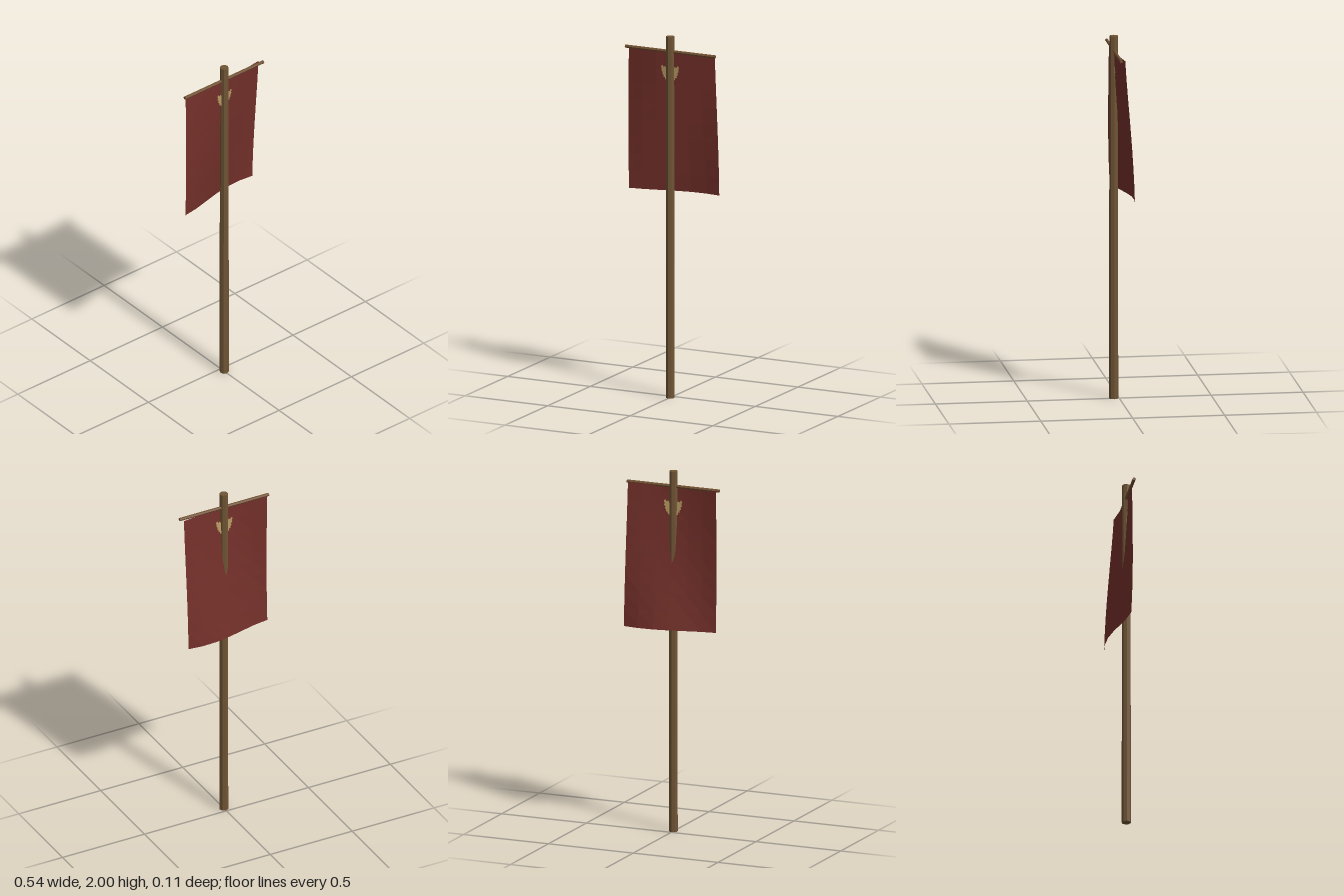
import * as THREE from 'three';

const TOP = 1.915, BOTTOM = 1.13, HALF_WIDTH = 0.257;

// Depth of the wind-blown cloth: a wave that grows and travels downwards
function clothZ(x, y) {
  const t = THREE.MathUtils.clamp((TOP - y) / (TOP - BOTTOM), 0, 1);
  const grow = Math.pow(t, 1.3);
  return 0.015 - 0.036 * grow + (0.019 + 0.018 * grow) * Math.cos(7 * (x + 0.05 + 0.25 * t));
}

// Lays a flat geometry onto the cloth, at a small distance from it
function drape(geometry, offset = 0) {
  const p = geometry.attributes.position;
  for (let i = 0; i < p.count; i++) p.setZ(i, clothZ(p.getX(i), p.getY(i)) + offset);
  geometry.computeVertexNormals();
  return geometry;
}

export function createModel() {
  const group = new THREE.Group();
  const material = (name, color, side = THREE.FrontSide) => {
    const m = new THREE.MeshStandardMaterial({ color, side, flatShading: true });
    m.name = name;
    return m;
  };
  const poleWood = material('pole wood', 0x6f5535);
  const barWood = material('crossbar wood', 0x735233);
  const redCloth = material('red cloth', 0x74302a, THREE.DoubleSide);
  const gold = material('pale gold', 0xb89a62, THREE.DoubleSide);

  const add = (name, geometry, mat) => {
    const mesh = new THREE.Mesh(geometry, mat);
    mesh.name = name;
    group.add(mesh);
    return mesh;
  };

  // Tall eight-sided pole
  add('pole', new THREE.CylinderGeometry(0.0235, 0.025, 2, 8), poleWood).position.set(0, 1, 0.03);

  // Crossbar that carries the cloth
  const bar = add('crossbar', new THREE.CylinderGeometry(0.009, 0.009, 0.544, 6), barWood);
  bar.rotation.z = Math.PI / 2;
  bar.position.set(0, 1.916, 0.028);

  // Hanging cloth
  const cloth = new THREE.PlaneGeometry(HALF_WIDTH * 2, TOP - BOTTOM, 6, 8);
  cloth.translate(0, (TOP + BOTTOM) / 2, 0);
  add('banner', drape(cloth), redCloth);

  // Feathered emblem on both faces of the cloth
  const half = [
    [0.018, 1.815], [0.028, 1.835], [0.038, 1.828], [0.043, 1.84], [0.053, 1.832],
    [0.048, 1.818], [0.051, 1.81], [0.043, 1.8], [0.046, 1.79], [0.038, 1.784],
    [0.039, 1.772], [0.03, 1.772], [0.028, 1.76], [0.012, 1.755],
  ].map(([x, y]) => new THREE.Vector2(x, y));
  const mirrored = half.map((v) => new THREE.Vector2(-v.x, v.y)).reverse();
  const outline = new THREE.Shape([...half, ...mirrored]);
  for (const [name, offset] of [['frontEmblem', 0.004], ['backEmblem', -0.004]]) {
    add(name, drape(new THREE.ShapeGeometry(outline), offset), gold);
  }

  return group;
}
